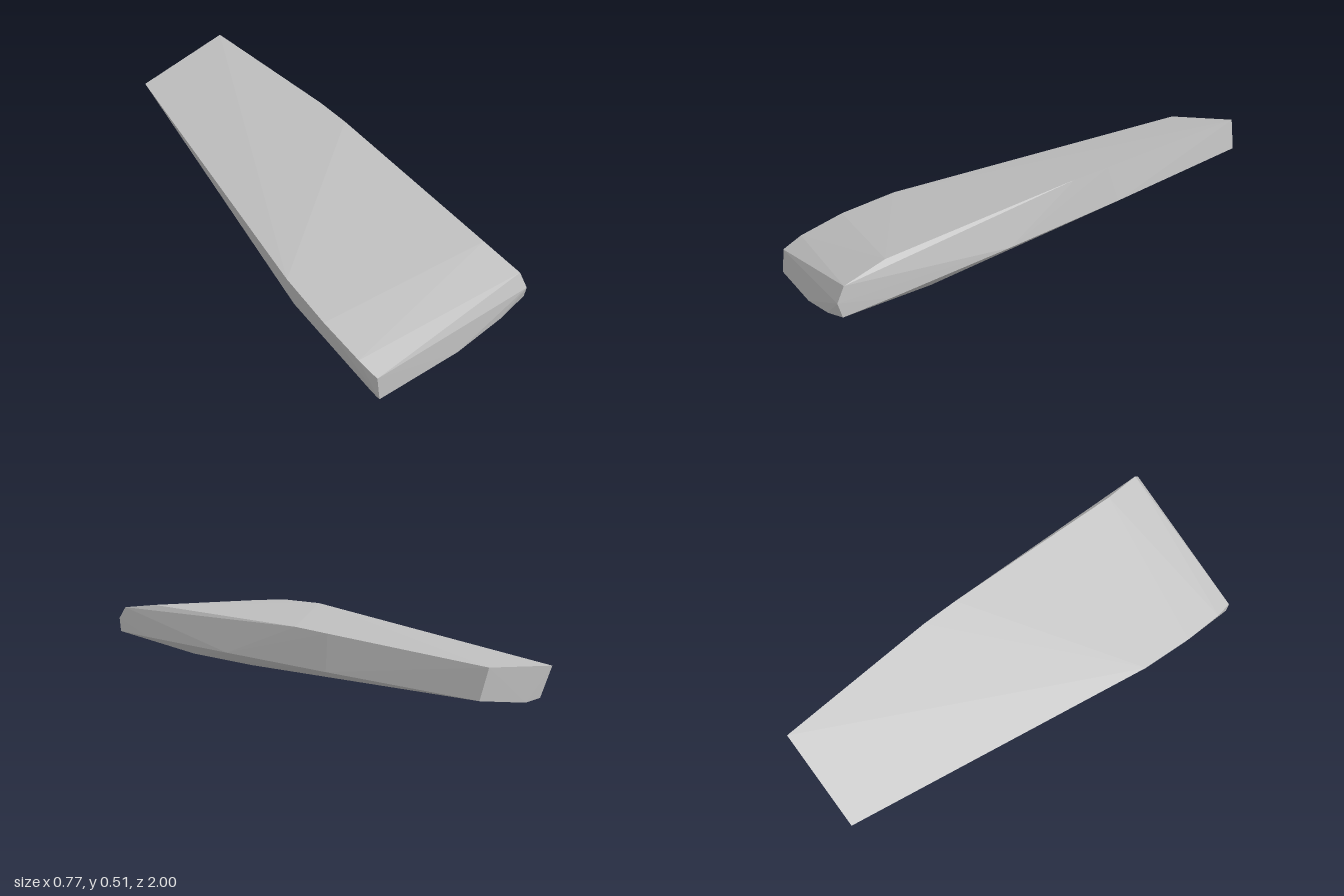
import * as THREE from 'three';
import { ConvexGeometry } from 'three/addons/geometries/ConvexGeometry.js';

// Faceted, tapering stone slab: the convex skin around a few edge lines.
export function createModel() {
  const stone = new THREE.MeshStandardMaterial({ color: 0xc0c0c0 });
  stone.name = 'stoneGrey';

  const edges = {
    topLeft: [[-0.215, 0.385, -1], [-0.383, 0.243, 0.42], [-0.385, 0.2, 0.67], [-0.368, 0.15, 0.87], [-0.348, 0.115, 0.96]],
    topRight: [[0.215, 0.512, -1], [0.291, 0.467, -0.27], [0.3, 0.453, -0.1], [0.333, 0.335, 0.78], [0.363, 0.285, 0.965]],
    lowerRight: [[0.25, 0.387, -0.99], [0.333, 0.322, -0.3], [0.37, 0.26, 0.25], [0.381, 0.19, 0.78], [0.383, 0.165, 0.985]],
    lowerLeft: [[-0.16, 0.262, -0.99], [-0.335, 0.07, 0.4], [-0.34, 0.01, 0.9], [-0.342, 0.01, 0.972]],
    underside: [[-0.06, 0.275, -0.99], [0.085, 0.068, 0.4], [0.04, 0.058, 0.59], [0.285, 0.138, 0.57], [-0.165, 0, 0.94], [-0.338, 0.002, 0.95]],
    nose: [[0.375, 0.225, 1], [0.25, 0.12, 0.995], [0.03, 0.063, 0.995]],
  };

  const points = Object.values(edges).flat().map((p) => new THREE.Vector3(...p));
  const slab = new THREE.Mesh(new ConvexGeometry(points), stone);
  slab.name = 'stoneSlab';

  const group = new THREE.Group();
  group.name = 'stone';
  group.add(slab);
  return group;
}
